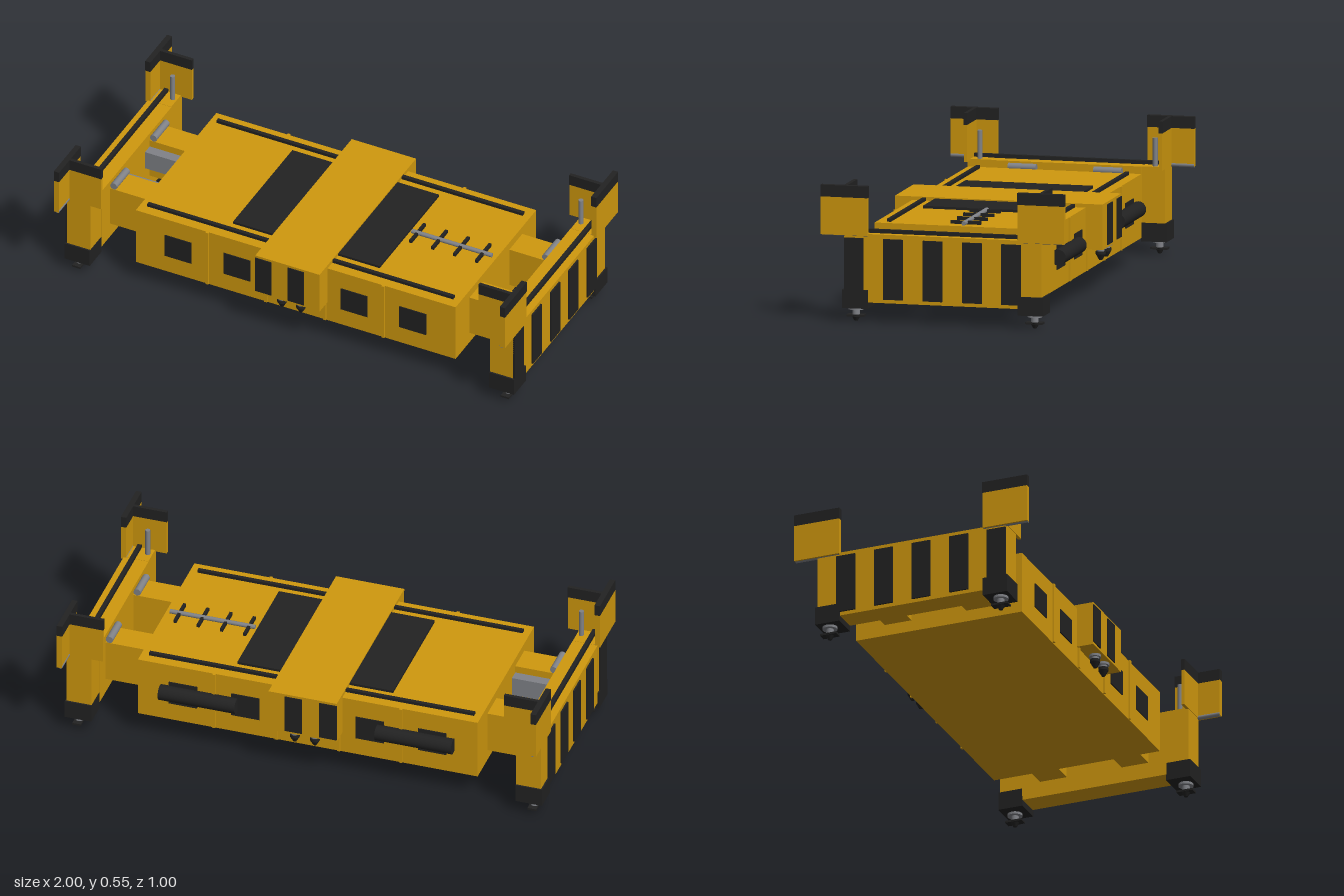
import * as THREE from 'three';

const yellow = new THREE.MeshStandardMaterial({ color: 0xcf980e });
yellow.name = 'yellow paint';
const black = new THREE.MeshStandardMaterial({ color: 0x222222 });
black.name = 'black';
const grey = new THREE.MeshStandardMaterial({ color: 0x808287 });
grey.name = 'steel grey';

// Box given by its limits on each axis
function box(parent, name, mat, [x0, x1], [y0, y1], [z0, z1]) {
  const m = new THREE.Mesh(new THREE.BoxGeometry(x1 - x0, y1 - y0, Math.abs(z1 - z0)), mat);
  m.position.set((x0 + x1) / 2, (y0 + y1) / 2, (z0 + z1) / 2);
  m.name = name;
  parent.add(m);
  return m;
}

// Cylinder centred at a point, lying along an axis
function rod(parent, name, mat, axis, r, len, [x, y, z], rBottom = r, sides = 20) {
  const g = new THREE.CylinderGeometry(r, rBottom, len, sides);
  if (axis === 'x') g.rotateZ(Math.PI / 2);
  if (axis === 'z') g.rotateX(Math.PI / 2);
  const m = new THREE.Mesh(g, mat);
  m.position.set(x, y, z);
  m.name = name;
  parent.add(m);
  return m;
}

// Locking pin hanging below the height y
function lockPin(parent, x, y, z, flange) {
  const g = new THREE.Group();
  g.name = 'lockPin';
  g.position.set(x, y, z);
  rod(g, 'pinCollar', grey, 'y', flange ? 0.03 : 0.024, 0.01, [0, -0.005, 0]);
  rod(g, 'pinShaft', grey, 'y', 0.015, 0.025, [0, -0.02, 0]);
  if (flange) box(g, 'pinHead', black, [-0.018, 0.018], [-0.038, -0.03], [-0.035, 0.035]);
  rod(g, 'pinTip', black, 'y', 0.02, 0.023, [0, -0.0435, 0], 0.007);
  if (!flange) rod(g, 'pinHead', black, 'y', 0.02, 0.012, [0, -0.026, 0]);
  parent.add(g);
}

// Corner post, guide plates and foot; sz picks the side
function corner(parent, sz) {
  const g = new THREE.Group();
  g.name = 'corner';
  const Z = (a, b) => [a * sz, b * sz];
  box(g, 'foot', black, [0.885, 0.996], [0.055, 0.13], Z(0.308, 0.412));
  box(g, 'post', yellow, [0.886, 0.99], [0.13, 0.356], Z(0.31, 0.405));
  box(g, 'outerGuide', yellow, [0.978, 1], [0.348, 0.5], Z(0.308, 0.5));
  box(g, 'outerGuideCap', black, [0.977, 1], [0.5, 0.547], Z(0.307, 0.5));
  box(g, 'crossGuide', yellow, [0.837, 0.978], [0.35, 0.5], Z(0.394, 0.407));
  box(g, 'crossGuideCap', black, [0.836, 0.978], [0.5, 0.547], Z(0.393, 0.408));
  rod(g, 'hingeRod', grey, 'z', 0.009, 0.19, [0.985, 0.353, 0.404 * sz]);
  rod(g, 'guidePin', grey, 'y', 0.01, 0.12, [0.905, 0.41, 0.36 * sz]);
  lockPin(g, 0.95, 0.055, 0.367 * sz, true);
  parent.add(g);
}

// End beam with its arms, modelled on +x
function endFrame(name) {
  const g = new THREE.Group();
  g.name = name;
  box(g, 'endBeam', yellow, [0.885, 0.989], [0.08, 0.355], [-0.31, 0.31]);
  box(g, 'beamRail', black, [0.941, 0.958], [0.355, 0.37], [-0.4, 0.4]);
  for (let i = 0; i < 5; i++) {
    const z = 0.365 - i * 0.1615;
    box(g, 'beamStripe', black, [0.988, 0.996], [0.095, 0.338], [z - 0.04, z + 0.04]);
  }
  for (const s of [-1, 1]) {
    box(g, 'slideArm', yellow, [0.7, 0.89], [0.145, 0.32], [0.118 * s, 0.233 * s]);
    rod(g, 'armRoller', grey, 'z', 0.015, 0.115, [0.869, 0.335, 0.1755 * s]);
    corner(g, s);
  }
  return g;
}

export function createModel() {
  const model = new THREE.Group();
  model.name = 'containerSpreader';

  // Main body
  const body = new THREE.Group();
  body.name = 'body';
  model.add(body);
  box(body, 'mainFrame', yellow, [-0.709, 0.709], [0.098, 0.355], [-0.356, 0.356]);
  for (const s of [-1, 1]) {
    box(body, 'topRail', black, [-0.68, 0.677], [0.355, 0.367], [0.298 * s, 0.314 * s]);
    for (const x of [-0.39, -0.13, 0.13, 0.39])
      box(body, 'sideRib', yellow, [x - 0.006, x + 0.006], [0.1, 0.355], [0.355 * s, 0.364 * s]);
    for (const x of [-0.52, -0.26, 0.26, 0.52])
      box(body, 'sidePanel', black, [x - 0.059, x + 0.059], [0.175, 0.277], [0.355 * s, 0.36 * s]);
    box(body, 'topPanel', black, s > 0 ? [0.14, 0.325] : [-0.325, -0.14], [0.354, 0.365], [-0.262, 0.262]);
    rod(body, 'rearCylinder', black, 'x', 0.032, 0.32, [0.452 * s, 0.23, -0.37]);
  }

  // Raised saddle across the middle
  const saddle = new THREE.Group();
  saddle.name = 'saddle';
  model.add(saddle);
  box(saddle, 'saddleBox', yellow, [-0.144, 0.141], [0.187, 0.37], [-0.426, 0.426]);
  for (const s of [-1, 1]) {
    for (const x of [-0.108, 0.036])
      box(saddle, 'saddleStripe', black, [x - 0.036, x + 0.036], [0.197, 0.36], [0.425 * s, 0.43 * s]);
    for (const x of [-0.042, 0.042]) lockPin(saddle, x, 0.187, 0.392 * s, false);
  }

  // Hose spine with cross bars
  const spine = new THREE.Group();
  spine.name = 'hoseSpine';
  model.add(spine);
  rod(spine, 'spineRod', grey, 'x', 0.009, 0.355, [0.513, 0.363, -0.004]);
  for (const x of [0.36, 0.457, 0.554, 0.651])
    box(spine, 'spineBar', black, [x - 0.006, x + 0.006], [0.354, 0.368], [-0.066, 0.059]);

  // End frames, the second turned to face the other way
  model.add(endFrame('leftEndFrame'));
  const right = endFrame('rightEndFrame');
  right.scale.x = -1;
  model.add(right);

  // Extension rams on one end
  for (const s of [-1, 1])
    box(model, 'extensionRam', grey, [-0.889, -0.7], [0.21, 0.29], [0.076 * s, 0.119 * s]);

  return model;
}
